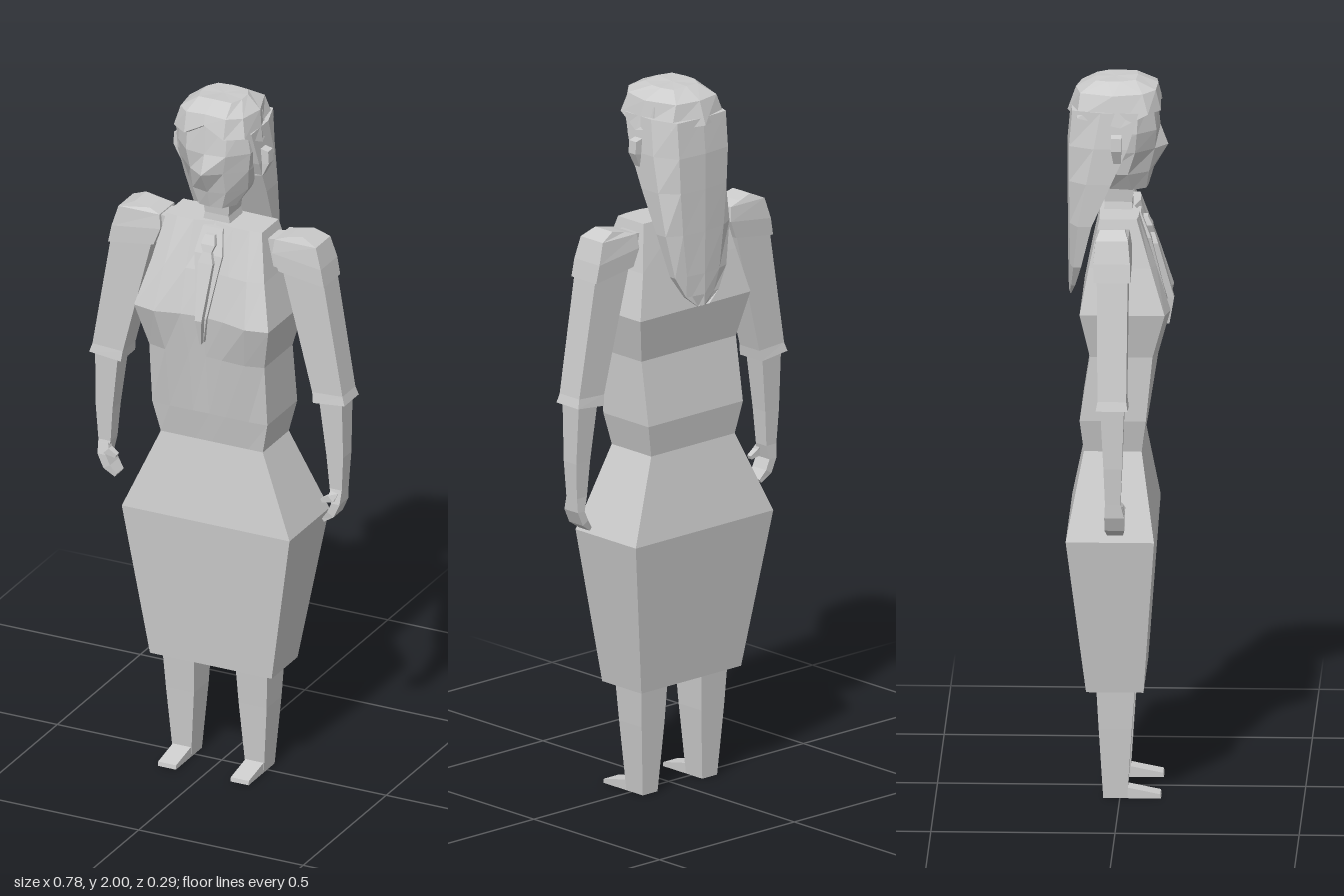
import * as THREE from 'three';

const grey = new THREE.MeshStandardMaterial({ color: 0xcccccc });
grey.name = 'plainGrey';

// Faceted skin over rings listed from bottom to top, each counter-clockwise from above
function loft(name, rings) {
  const pos = [];
  const tri = (a, b, c) => pos.push(...a, ...b, ...c);
  const n = rings[0].length;
  for (let r = 0; r < rings.length - 1; r++) {
    const a = rings[r], b = rings[r + 1];
    for (let i = 0; i < n; i++) {
      const j = (i + 1) % n;
      tri(a[i], a[j], b[j]);
      tri(a[i], b[j], b[i]);
    }
  }
  const centre = (ring) => [0, 1, 2].map((k) => ring.reduce((s, p) => s + p[k], 0) / n);
  const low = rings[0], top = rings[rings.length - 1];
  const cl = centre(low), ct = centre(top);
  for (let i = 0; i < n; i++) {
    const j = (i + 1) % n;
    tri(cl, low[j], low[i]);
    tri(ct, top[i], top[j]);
  }
  const g = new THREE.BufferGeometry();
  g.setAttribute('position', new THREE.Float32BufferAttribute(pos, 3));
  g.computeVertexNormals();
  const mesh = new THREE.Mesh(g, grey);
  mesh.name = name;
  return mesh;
}

// Symmetric ring: half points [x, y, z] from front centre round to back centre
function mirrored(half) {
  const other = half.slice(1, -1).reverse().map(([x, y, z]) => [-x, y, z]);
  return [...half, ...other];
}
const level = (y, half) => mirrored(half.map(([x, z]) => [x, y, z]));

// Four-cornered ring; inner and outer edges may differ in height, s is the side
function quad(s, xi, xo, yi, yo, zb, zf) {
  const ring = [[s * xi, yi, zf], [s * xo, yo, zf], [s * xo, yo, zb], [s * xi, yi, zb]];
  return s > 0 ? ring : ring.reverse();
}
const block = (w, y, zb, zf) => quad(1, -w, w, y, y, zb, zf);

function arm(s) {
  const g = new THREE.Group();
  g.name = s > 0 ? 'leftArm' : 'rightArm';
  const q = (...v) => quad(s, ...v);
  g.add(
    loft('puffSleeve', [
      q(0.19, 0.328, 1.52, 1.5, -0.064, 0.035),
      q(0.17, 0.318, 1.57, 1.55, -0.066, 0.034),
      q(0.175, 0.3, 1.61, 1.61, -0.06, 0.028),
      q(0.21, 0.255, 1.62, 1.63, -0.05, 0.018),
    ]),
    // Bridge from the sleeve into the body
    loft('shoulderJoint', [
      q(0.12, 0.2, 1.53, 1.52, -0.045, 0.02),
      q(0.12, 0.2, 1.6, 1.61, -0.045, 0.02),
    ]),
    loft('sleeve', [
      q(0.292, 0.388, 1.145, 1.155, -0.057, 0.03),
      q(0.288, 0.38, 1.175, 1.18, -0.052, 0.026),
      q(0.2, 0.323, 1.52, 1.51, -0.056, 0.028),
    ]),
    loft('forearm', [
      q(0.333, 0.37, 0.89, 0.89, -0.032, 0.01),
      q(0.325, 0.376, 0.99, 0.99, -0.036, 0.014),
      q(0.305, 0.375, 1.16, 1.16, -0.045, 0.02),
    ]),
    loft('hand', [
      q(0.312, 0.318, 0.797, 0.788, -0.028, 0.015),
      q(0.33, 0.35, 0.822, 0.81, -0.034, 0.02),
      q(0.343, 0.368, 0.85, 0.85, -0.034, 0.02),
      q(0.333, 0.37, 0.89, 0.89, -0.032, 0.01),
    ]),
    loft('thumb', [
      q(0.31, 0.314, 0.857, 0.847, 0.005, 0.02),
      q(0.333, 0.35, 0.872, 0.855, 0.002, 0.022),
      q(0.338, 0.36, 0.885, 0.88, -0.005, 0.015),
    ]),
  );
  return g;
}

function leg(s) {
  const g = new THREE.Group();
  g.name = s > 0 ? 'leftLeg' : 'rightLeg';
  const q = (...v) => quad(s, ...v);
  g.add(
    loft('shin', [
      q(0.083, 0.138, 0, 0, -0.045, 0.02),
      q(0.068, 0.153, 0.2, 0.2, -0.057, 0.033),
      q(0.062, 0.16, 0.33, 0.33, -0.064, 0.043),
    ]),
    loft('foot', [
      q(0.083, 0.138, 0, 0, -0.045, 0.112),
      q(0.083, 0.138, 0.012, 0.012, -0.045, 0.11),
      q(0.083, 0.138, 0.03, 0.03, -0.045, 0.02),
    ]),
  );
  return g;
}

function head() {
  const g = new THREE.Group();
  g.name = 'head';
  g.add(
    loft('neck', [block(0.055, 1.56, -0.05, 0.035), block(0.036, 1.65, -0.045, 0.03), block(0.045, 1.73, -0.05, 0.04)]),
    loft('face', [
      level(1.69, [[0, 0.073], [0.035, 0.068], [0.06, 0.03], [0.05, -0.03], [0, -0.04]]),
      level(1.74, [[0, 0.088], [0.05, 0.076], [0.09, 0.02], [0.085, -0.05], [0, -0.07]]),
      level(1.805, [[0, 0.127], [0.05, 0.092], [0.102, 0.04], [0.11, -0.05], [0, -0.09]]),
      level(1.86, [[0, 0.106], [0.06, 0.097], [0.11, 0.045], [0.115, -0.05], [0, -0.1]]),
      level(1.95, [[0, 0.097], [0.06, 0.085], [0.098, 0.05], [0.1, -0.05], [0, -0.1]]),
    ]),
    loft('hairCap', [
      mirrored([[0, 1.948, 0.108], [0.06, 1.915, 0.109], [0.108, 1.915, 0.075], [0.124, 1.88, 0], [0.098, 1.9, -0.118], [0, 1.9, -0.147]]),
      mirrored([[0, 1.978, 0.1], [0.06, 1.972, 0.095], [0.095, 1.968, 0.06], [0.107, 1.965, -0.02], [0.075, 1.965, -0.11], [0, 1.965, -0.124]]),
      mirrored([[0, 2, 0.045], [0.05, 1.997, 0.04], [0.062, 1.995, 0], [0.062, 1.995, -0.035], [0.045, 1.993, -0.068], [0, 1.995, -0.07]]),
    ]),
    // Long hair: [y, half width, front z, back half width, back z]
    loft('longHair', [
      [1.388, 0.022, -0.136, 0.015, -0.142], [1.42, 0.06, -0.124, 0.04, -0.144], [1.48, 0.095, -0.107, 0.06, -0.145],
      [1.6, 0.118, -0.078, 0.075, -0.146], [1.72, 0.124, -0.025, 0.085, -0.147], [1.82, 0.124, 0.02, 0.09, -0.147],
      [1.92, 0.115, 0.05, 0.09, -0.138],
    ].map(([y, x, zf, xb, zb]) => level(y, [[0, zf], [x, zf], [x, zf * 0.45 + zb * 0.55], [xb, zb * 0.95], [0, zb]]))),
  );
  for (const s of [1, -1]) {
    g.add(loft('ear', [
      quad(s, 0.1, 0.125, 1.775, 1.78, -0.018, 0.002),
      quad(s, 0.1, 0.145, 1.81, 1.82, -0.024, 0.004),
      quad(s, 0.1, 0.143, 1.865, 1.855, -0.024, 0.004),
    ]));
  }
  return g;
}

export function createModel() {
  const model = new THREE.Group();
  model.name = 'woman';

  model.add(
    loft('skirt', [
      block(0.185, 0.31, -0.09, 0.066),
      block(0.255, 0.75, -0.143, 0.097),
      block(0.155, 0.98, -0.097, 0.06),
    ]),
    // Fitted bodice, half sections from front centre to back centre
    loft('bodice', [
      level(0.98, [[0, 0.06], [0.05, 0.06], [0.11, 0.06], [0.155, 0.06], [0.155, -0.097], [0, -0.097]]),
      level(1.07, [[0, 0.075], [0.05, 0.076], [0.12, 0.076], [0.175, 0.072], [0.175, -0.108], [0, -0.108]]),
      level(1.25, [[0, 0.096], [0.05, 0.1], [0.12, 0.104], [0.175, 0.09], [0.175, -0.08], [0, -0.08]]),
      level(1.375, [[0, 0.112], [0.065, 0.12], [0.138, 0.138], [0.204, 0.124], [0.204, -0.107], [0, -0.107]]),
      level(1.5, [[0, 0.084], [0.065, 0.09], [0.125, 0.098], [0.172, 0.085], [0.172, -0.083], [0, -0.083]]),
      level(1.63, [[0, 0.035], [0.06, 0.05], [0.11, 0.05], [0.145, 0.046], [0.145, -0.055], [0, -0.058]]),
    ]),
    // Lapels and tie: [y, half width, front z]
    loft('lapels', [[1.3, 0.003, 0.116], [1.375, 0.015, 0.123], [1.55, 0.042, 0.082], [1.62, 0.03, 0.053]]
      .map(([y, w, z]) => block(w, y, z - 0.02, z))),
    loft('tie', [[1.3, 0.002, 0.13], [1.375, 0.01, 0.143], [1.53, 0.022, 0.1], [1.56, 0.013, 0.09], [1.58, 0.021, 0.085], [1.605, 0.014, 0.072]]
      .map(([y, w, z]) => block(w, y, z - 0.018, z))),
    head(),
  );
  for (const s of [1, -1]) model.add(arm(s), leg(s));
  return model;
}
